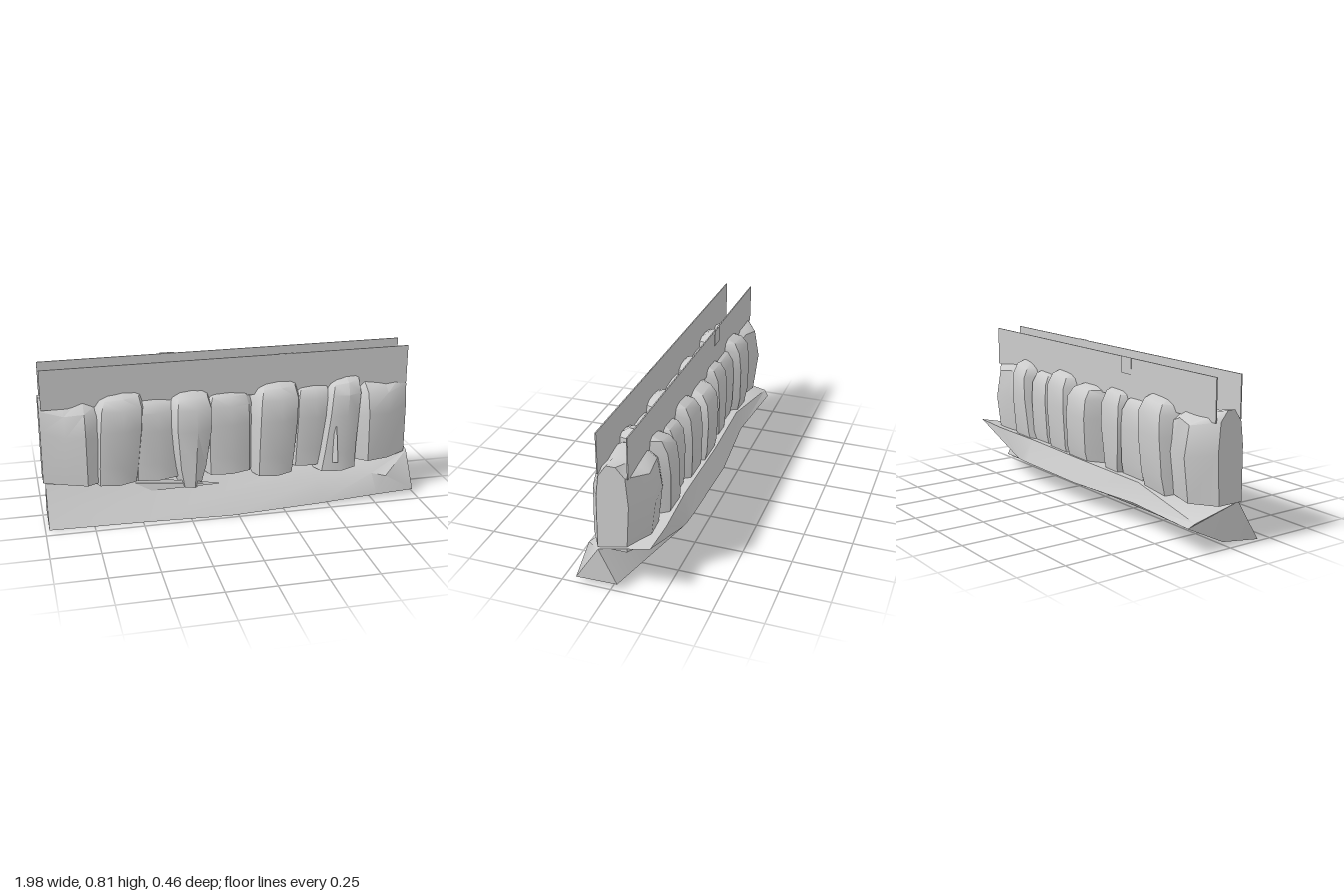
import * as THREE from 'three';
import { toCreasedNormals } from 'three/addons/utils/BufferGeometryUtils.js';

const material = new THREE.MeshStandardMaterial({ color: 0xcccccc, side: THREE.DoubleSide });

// Skins a list of equal-length rings of [x, y, z] points and closes both ends.
function loft(rings, crease) {
  const n = rings[0].length, index = [];
  for (let i = 0; i < rings.length - 1; i++) {
    for (let j = 0; j < n; j++) {
      const a = i * n + j, b = i * n + (j + 1) % n;
      index.push(a, a + n, b + n, a, b + n, b);
    }
  }
  const last = (rings.length - 1) * n;
  for (let j = 1; j < n - 1; j++) {
    index.push(0, j, j + 1, last, last + j + 1, last + j);
  }
  const g = new THREE.BufferGeometry();
  g.setAttribute('position', new THREE.Float32BufferAttribute(rings.flat(2), 3));
  g.setIndex(index);
  return toCreasedNormals(g, crease);
}

function add(group, name, geometry) {
  const mesh = new THREE.Mesh(geometry, material);
  mesh.name = name;
  group.add(mesh);
  return mesh;
}

// Earth bank: cross-sections along x, loop of crest, rear crest, rear foot,
// keel, front foot and front slope. The left end is broken away inwards.
function bankGeometry() {
  const sections = [
    // x, front foot [y, z], slope [x, y, z], rear crest [y, z], rear foot [x, y, z]
    [-0.98, [0, 0.19], [-0.98, 0.1, 0.125], [0.15, -0.2], [-0.96, 0.125, -0.225]],
    [-0.5, [0, 0.205], [-0.5, 0.1, 0.135], [0.225, -0.16], [-0.5, 0.125, -0.19]],
    [-0.04, [0, 0.23], [-0.04, 0.11, 0.15], [0.24, -0.18], [-0.04, 0.125, -0.23]],
    [0.45, [0.01, 0.21], [0.45, 0.12, 0.15], [0.25, -0.18], [0.45, 0.125, -0.22]],
    [0.78, [0.02, 0.19], [0.76, 0.13, 0.15], [0.26, -0.2], [0.53, 0.125, -0.215]],
    [0.99, [0.025, 0.18], [0.83, 0.12, 0.18], [0.27, -0.2], [0.56, 0.125, -0.21]],
  ];
  return loft(sections.map(([x, foot, slope, crest, rear]) => [
    [x, 0.21, 0.06], [x, ...crest], rear, [x, 0.03, -0.03], [x, ...foot], slope,
  ]), 0.6);
}

// Upright stone: smooth faceted rings closing to a crown. foot scales the
// bottom width, flare pushes the foot forward, lean shifts the crown along x.
function stoneGeometry({ x, w, front, back, top, bottom, foot = 0.9, lean = 0, turn = 0, flare = 1 }) {
  const outline = [
    [1, 0.1], [0.75, 0.78], [0.1, 1], [-0.65, 0.9],
    [-1, 0.2], [-1, -0.25], [-0.55, -1], [0.55, -1], [1, -0.3],
  ];
  const levels = [
    // height, width scale, front scale, back scale
    [0, foot, flare, 0.85],
    [0.2, (foot + 1) / 2, (flare + 1) / 2, 0.96],
    [0.6, 1, 0.98, 1],
    [0.82, 0.98, 0.88, 0.95],
    [0.93, 0.84, 0.66, 0.78],
    [1, 0.42, 0.2, 0.25],
  ];
  return loft(levels.map(([t, sw, sf, sb]) => outline.map(([u, v]) => {
    const z = v > 0 ? v * front * sf : v * back * sb;
    return [
      x + u * w / 2 * sw + lean * (t - 0.5) + turn * z,
      bottom + (top - bottom) * t + (t > 0.9 ? u * lean * 0.25 : 0),
      z,
    ];
  })), 0.75);
}

// End stone built along x from [x, front z, back z, top y] spans.
function endStoneGeometry(spans) {
  return loft(spans.map(([x, f, b, top]) => [
    [x, 0.21, f], [x, top - 0.17, f * 0.97], [x, top - 0.06, f * 0.78],
    [x, top, f * 0.2], [x, top, b * 0.35],
    [x, top - 0.05, b * 0.85], [x, top - 0.2, b], [x, 0.21, b * 0.85],
  ]), 0.75);
}

export function createModel() {
  const model = new THREE.Group();
  model.name = 'stoneWall';

  add(model, 'earthBank', bankGeometry());

  // Thin tongue of earth jutting from the front slope
  add(model, 'earthTongue', loft([
    [[-0.62, 0.205, 0.05], [-0.62, 0.17, 0.06], [-0.45, 0.13, 0.11]],
    [[-0.1, 0.182, 0.198], [-0.1, 0.178, 0.196], [-0.1, 0.176, 0.2]],
  ], 0.5));

  // Row of touching stones, alternating forward and recessed
  const row = new THREE.Group();
  row.name = 'stoneRow';
  model.add(row);
  const stones = [
    { x: -0.6, w: 0.3, front: 0.165, back: 0.175, top: 0.675, bottom: 0.2, lean: 0.04 },
    { x: -0.41, w: 0.3, front: 0.13, back: 0.14, top: 0.635, bottom: 0.2, foot: 1, flare: 1.1 },
    { x: -0.235, w: 0.26, front: 0.18, back: 0.155, top: 0.66, bottom: 0.155, foot: 0.5, lean: 0.02, turn: 0.1 },
    { x: -0.01, w: 0.3, front: 0.135, back: 0.185, top: 0.64, bottom: 0.2, foot: 1, turn: -0.15, flare: 1.1 },
    { x: 0.23, w: 0.29, front: 0.17, back: 0.17, top: 0.675, bottom: 0.175, lean: 0.03 },
    { x: 0.43, w: 0.25, front: 0.13, back: 0.15, top: 0.645, bottom: 0.2, foot: 1, lean: 0.02 },
    { x: 0.59, w: 0.23, front: 0.165, back: 0.18, top: 0.675, bottom: 0.175, foot: 1.2, lean: 0.06, flare: 1.1 },
  ];
  stones.forEach((s, i) => add(row, `stone${i + 1}`, stoneGeometry(s)));

  // End stones: widest near the row, narrowing to the ends of the wall
  add(row, 'leftEndStone', endStoneGeometry([
    [0.66, 0.11, -0.14, 0.61], [0.73, 0.165, -0.165, 0.645],
    [0.85, 0.14, -0.175, 0.63], [0.97, 0.07, -0.09, 0.655],
  ]));
  add(row, 'rightEndStone', endStoneGeometry([
    [-0.99, 0.07, -0.08, 0.655], [-0.87, 0.12, -0.18, 0.63],
    [-0.77, 0.16, -0.15, 0.645], [-0.68, 0.11, -0.12, 0.61],
  ]));

  // Small wedge stone leaning on the front
  add(row, 'wedgeStone', loft([
    [[0.54, 0.42, 0.12], [0.555, 0.42, 0.12], [0.547, 0.42, 0.165]],
    [[0.49, 0.21, 0.12], [0.56, 0.22, 0.12], [0.55, 0.23, 0.197]],
  ], 0.3));

  // Two thin upright sheets along the crown, each with a small tab
  for (const [name, z, tabX, tabZ] of [['front', 0.06, 0.29, 0.06], ['rear', -0.088, -0.31, -0.095]]) {
    add(model, `${name}Sheet`, new THREE.BoxGeometry(1.945, 0.21, 0.006)).position.set(-0.007, 0.706, z);
    add(model, `${name}Tab`, new THREE.BoxGeometry(0.08, 0.085, 0.002)).position.set(tabX, 0.771, tabZ);
  }
  return model;
}
